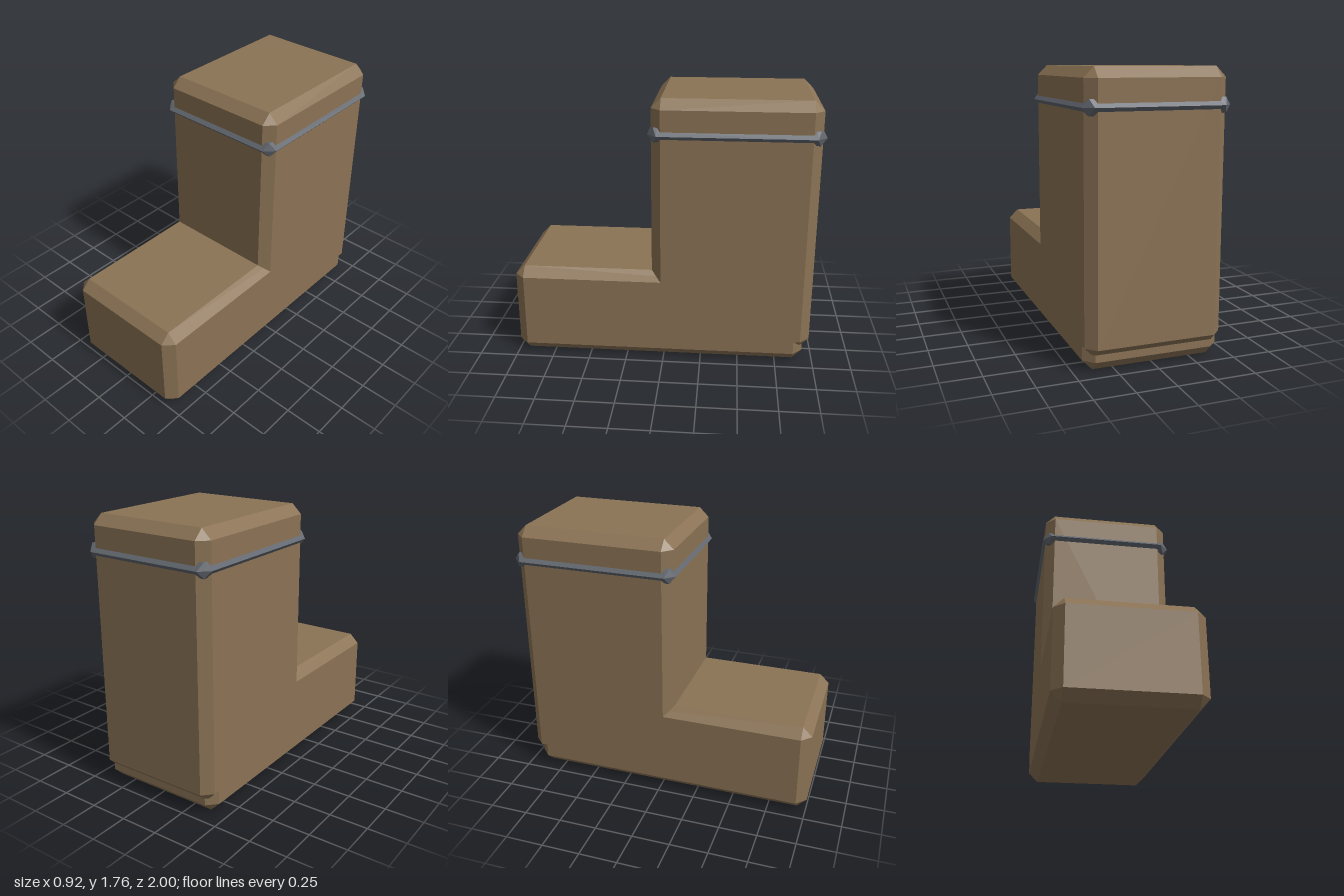
import * as THREE from 'three';
import { ConvexGeometry } from 'three/addons/geometries/ConvexGeometry.js';

const BEVEL = 0.0625;
const HALF_X = 0.437;
const SIGNS = [-1, 1];

const leather = new THREE.MeshStandardMaterial({ color: 0x8b7355 });
leather.name = 'brown leather';
const trim = new THREE.MeshStandardMaterial({ color: 0x62676f });
trim.name = 'grey trim';

function hull(name, points, material) {
  const mesh = new THREE.Mesh(new ConvexGeometry(points), material);
  mesh.name = name;
  return mesh;
}

// Box with every edge cut at 45 degrees, centred on x = 0
function bevelledBox(name, y0, y1, z0, z1, material) {
  const h = [HALF_X, (y1 - y0) / 2, (z1 - z0) / 2];
  const points = [];
  for (const sx of SIGNS) for (const sy of SIGNS) for (const sz of SIGNS) {
    for (let axis = 0; axis < 3; axis++) {
      const [x, y, z] = h.map((v, i) => (i === axis ? v : v - BEVEL));
      points.push(new THREE.Vector3(sx * x, sy * y + (y0 + y1) / 2, sz * z + (z0 + z1) / 2));
    }
  }
  return hull(name, points, material);
}

// Cut-corner rectangle at height y
function octagon(hx, hz, cut, y) {
  const points = [];
  for (const sx of SIGNS) for (const sz of SIGNS) {
    points.push(new THREE.Vector3(sx * hx, y, sz * (hz - cut)));
    points.push(new THREE.Vector3(sx * (hx - cut), y, sz * hz));
  }
  return points;
}

export function createModel() {
  const boot = new THREE.Group();
  boot.name = 'boot';

  // Foot and upright shaft
  boot.add(bevelledBox('foot', 0, 0.616, -0.932, 1, leather));
  boot.add(bevelledBox('shaft', 0.09, 1.763, -0.975, 0.08, leather));

  // Thin wedge-edged band around the shaft
  const band = new THREE.Group();
  band.name = 'band';
  band.position.set(0, 1.541, -0.4475);
  const hz = 0.5275, out = 0.021, half = 0.023;
  band.add(hull('bandStrip', [
    ...octagon(HALF_X, hz, BEVEL, half),
    ...octagon(HALF_X + out, hz + out, 0.06, 0),
    ...octagon(HALF_X, hz, BEVEL, -half),
  ], trim));

  // Faceted studs on the four cut corners
  for (const sx of SIGNS) for (const sz of SIGNS) {
    const points = [];
    const add = (dx, y, dz) => points.push(
      new THREE.Vector3(sx * (HALF_X + dx), y, sz * (hz + dz)));
    add(out, 0, out - 0.06);
    add(out - 0.06, 0, out);
    for (const s of SIGNS) {
      add(0, s * half, -BEVEL);
      add(-BEVEL, s * half, 0);
      add(-0.018, s * 0.046, -0.045);
      add(-0.045, s * 0.046, -0.018);
      add(-0.018, s * 0.046, -0.018);
    }
    boot.add(band);
    band.add(hull('cornerStud', points, trim));
  }
  return boot;
}
